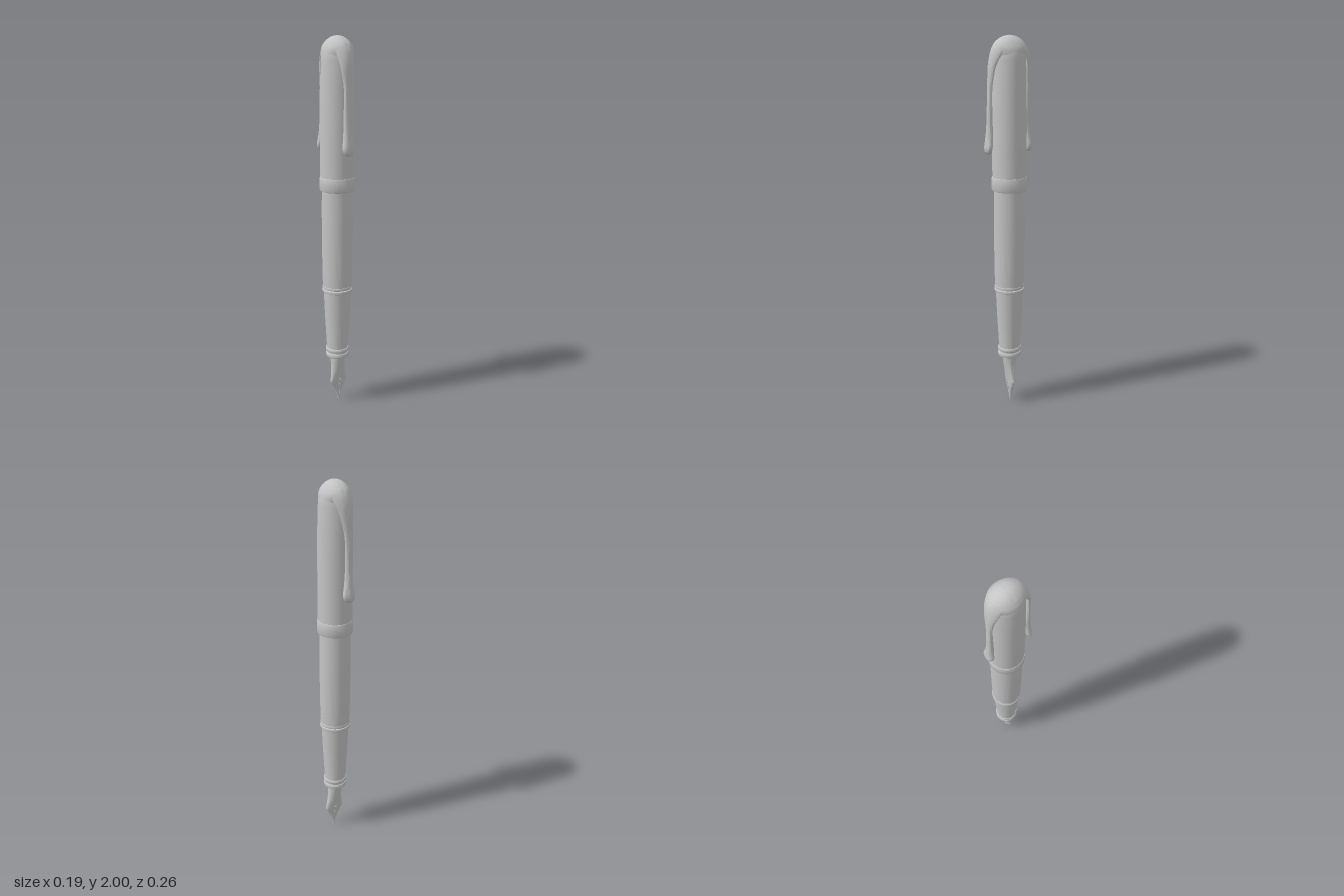
import * as THREE from 'three';
import { toCreasedNormals } from 'three/addons/utils/BufferGeometryUtils.js';

const SIDES = 48;
const AXIS_X = -0.001;

// Solid skin over closed rings of points, capped at both ends.
// Rings run upward, points run from +x towards +z.
function loft(rings) {
  const n = rings[0].length, pos = [], index = [];
  rings.forEach(r => r.forEach(p => pos.push(...p)));
  for (let i = 0; i < rings.length - 1; i++) {
    for (let j = 0; j < n; j++) {
      const a = i * n + j, b = i * n + (j + 1) % n;
      index.push(a, a + n, b, b, a + n, b + n);
    }
  }
  const last = (rings.length - 1) * n;
  for (let j = 1; j < n - 1; j++) {
    index.push(0, j, j + 1, last, last + j + 1, last + j);
  }
  const g = new THREE.BufferGeometry();
  g.setAttribute('position', new THREE.Float32BufferAttribute(pos, 3));
  g.setIndex(index);
  return toCreasedNormals(g, 0.9);
}

// Smoothly resample a table of rows whose first column is the height.
function resample(rows, steps) {
  const out = [];
  for (let i = 0; i < rows.length - 1; i++) {
    for (let s = 0; s < steps; s++) {
      const t = s / steps;
      const p = [rows[Math.max(i - 1, 0)], rows[i], rows[i + 1], rows[Math.min(i + 2, rows.length - 1)]];
      out.push(rows[i].map((_, k) => {
        const [a, b, c, d] = p.map(r => r[k]);
        return b + 0.5 * t * (c - a + t * (2 * a - 5 * b + 4 * c - d + t * (3 * (b - c) + d - a)));
      }));
    }
  }
  out.push(rows[rows.length - 1]);
  return out;
}

// Ring of points made by a rule that takes the angle
const ring = (n, point) => Array.from({ length: n }, (_, j) => point(j / n * Math.PI * 2));

// Spring clip: height, left edge, right edge, outer z, thickness, drop of the edges
function clipGeometry(side) {
  const rows = resample([
    [1.408, -0.020, -0.010, 0.120, 0.008, 0.000],
    [1.418, -0.038, 0.007, 0.128, 0.026, 0.002],
    [1.445, -0.048, 0.017, 0.130, 0.033, 0.003],
    [1.490, -0.041, 0.009, 0.125, 0.032, 0.003],
    [1.560, -0.036, 0.002, 0.119, 0.028, 0.002],
    [1.680, -0.035, 0.002, 0.115, 0.021, 0.002],
    [1.760, -0.036, 0.008, 0.113, 0.019, 0.003],
    [1.850, -0.047, 0.029, 0.110, 0.020, 0.010],
    [1.910, -0.056, 0.050, 0.102, 0.022, 0.024],
    [1.950, -0.060, 0.058, 0.087, 0.024, 0.034],
    [1.975, -0.048, 0.048, 0.058, 0.030, 0.030],
  ], 4);
  const soft = v => Math.sign(v) * Math.abs(v) ** 0.75;
  return loft(rows.map(([y, l, r, z, thick, sag]) => ring(24, a => {
    const u = soft(Math.cos(a));
    const out = side * soft(Math.sin(a));
    return [(l + r) / 2 + u * (r - l) / 2, y, side * (z - thick / 2 + out * thick / 2 - sag * u * u)];
  })));
}

// Oval part from rows of height, centre x, half width, half depth
const ovalLoft = rows => loft(resample(rows, 3).map(([y, cx, w, d]) =>
  ring(SIDES, a => [cx + Math.cos(a) * w, y, Math.sin(a) * d])));

export function createModel() {
  const pen = new THREE.Group();
  pen.name = 'fountainPen';
  const grey = new THREE.MeshStandardMaterial({ color: 0xc4c4c4 });
  grey.name = 'light grey';

  const add = (name, geometry, x = 0, y = 0, z = 0) => {
    const mesh = new THREE.Mesh(geometry, grey);
    mesh.name = name;
    mesh.position.set(x, y, z);
    pen.add(mesh);
    return mesh;
  };
  // Turned part from [radius, height] pairs, bottom to top
  const turned = (name, profile) => add(name, toCreasedNormals(
    new THREE.LatheGeometry(profile.map(p => new THREE.Vector2(...p)), SIDES), 0.6), AXIS_X);
  // Ring with rounded edges
  const band = (name, y0, y1, r, inner, bevel) => turned(name, [
    [inner, y0], [r - bevel, y0], [r - bevel * 0.3, y0 + bevel * 0.3], [r, y0 + bevel],
    [r, y1 - bevel], [r - bevel * 0.3, y1 - bevel * 0.3], [r - bevel, y1], [inner, y1],
  ]);

  // Cap with domed top
  const dome = [];
  for (let i = 0; i <= 14; i++) {
    const a = i / 14 * Math.PI / 2;
    dome.push([0.083 * Math.cos(a), 1.88 + 0.12 * Math.sin(a)]);
  }
  turned('cap', [[0.075, 1.225], [0.089, 1.225], [0.0895, 1.4], [0.0885, 1.6], [0.087, 1.75], [0.0855, 1.82], ...dome]);
  band('capBand', 1.213, 1.288, 0.093, 0.07, 0.008);

  // Oval hood over the dome, from which both clips spring
  add('clipHood', ovalLoft([
    [1.900, AXIS_X, 0.0805, 0.080],
    [1.930, AXIS_X, 0.0765, 0.091],
    [1.950, AXIS_X, 0.0685, 0.087],
    [1.970, AXIS_X, 0.0560, 0.072],
    [1.985, AXIS_X, 0.0412, 0.052],
    [1.995, AXIS_X, 0.0245, 0.030],
    [2.000, AXIS_X, 0.0020, 0.002],
  ]));

  // Barrel, narrowing slightly toward the grip
  turned('barrel', [[0, 0.68], [0.077, 0.68], [0.079, 0.72], [0.0805, 0.8], [0.082, 0.95], [0.0825, 1.1], [0.081, 1.24], [0, 1.24]]);
  band('barrelRingLower', 0.655, 0.674, 0.082, 0.05, 0.006);
  band('barrelRingUpper', 0.674, 0.692, 0.080, 0.05, 0.006);

  // Tapered grip and its end rings
  turned('grip', [[0, 0.285], [0.057, 0.285], [0.058, 0.34], [0.067, 0.5], [0.074, 0.66], [0, 0.66]]);
  band('gripRingLower', 0.274, 0.301, 0.063, 0, 0.007);
  band('gripRingUpper', 0.306, 0.33, 0.0635, 0.04, 0.008);

  // Nib, spear-shaped from the front and a thin wedge from the side
  add('nib', ovalLoft([
    [0.000, 0.010, 0.005, 0.005],
    [0.020, 0.009, 0.009, 0.007],
    [0.060, 0.008, 0.022, 0.010],
    [0.100, 0.007, 0.043, 0.014],
    [0.120, 0.006, 0.052, 0.016],
    [0.135, 0.005, 0.051, 0.018],
    [0.190, 0.003, 0.042, 0.028],
    [0.240, 0.001, 0.040, 0.036],
    [0.295, 0.000, 0.041, 0.043],
  ]));

  for (const side of [1, -1]) {
    const label = side > 0 ? 'front' : 'back';
    add(label + 'Clip', clipGeometry(side));
    // Slit and breather hole on the nib
    const slit = add(label + 'NibSlit', new THREE.BoxGeometry(0.004, 0.09, 0.004), 0.007, 0.08, side * 0.0115);
    slit.rotation.x = side * 0.08;
    add(label + 'BreatherHole', new THREE.TorusGeometry(0.006, 0.002, 8, 20), 0.005, 0.133, side * 0.0175);
  }
  return pen;
}
